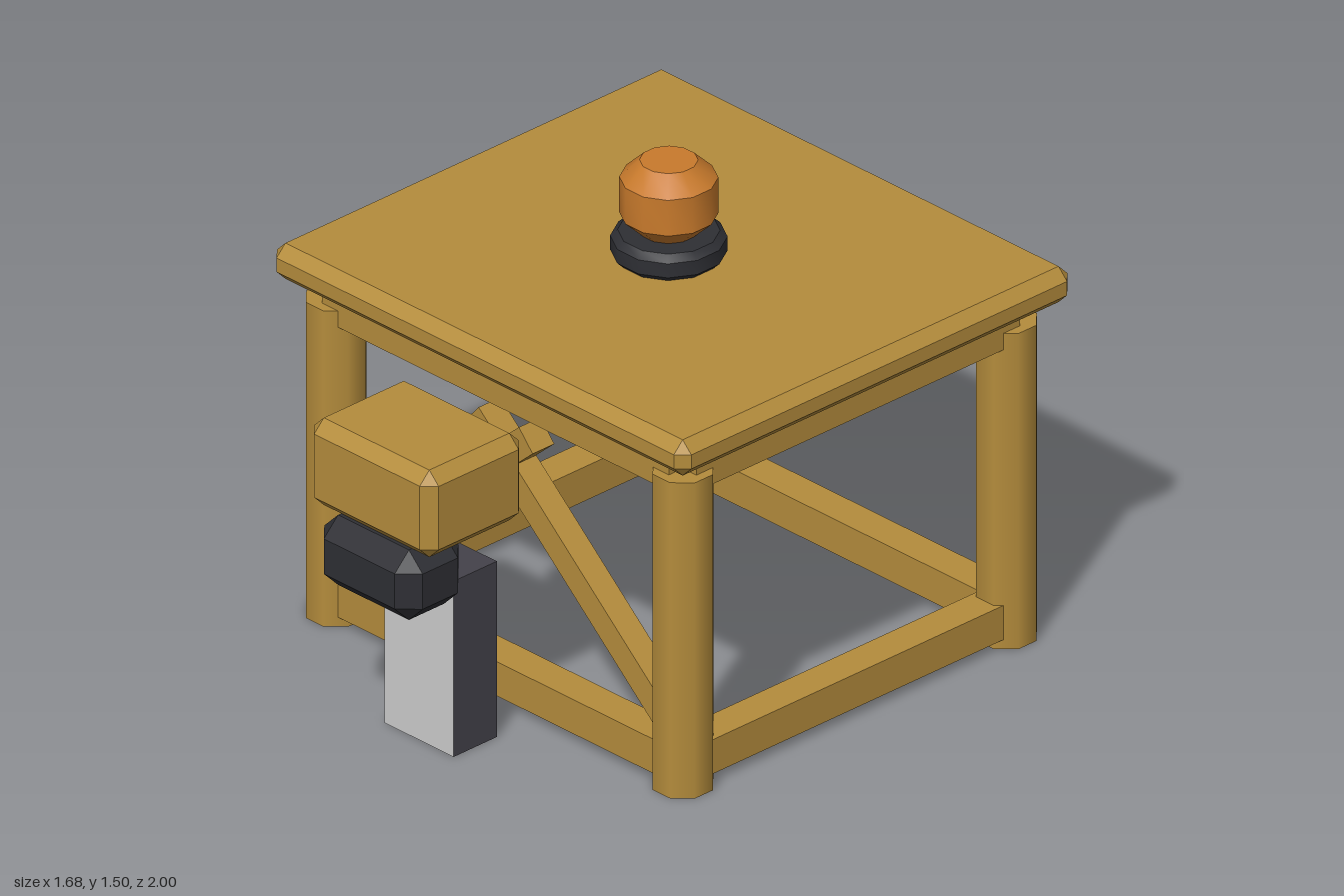
import * as THREE from 'three';
import { toCreasedNormals } from 'three/addons/utils/BufferGeometryUtils.js';
import { ConvexGeometry } from 'three/addons/geometries/ConvexGeometry.js';

const mat = (color) => new THREE.MeshStandardMaterial({ color });

// Box with every edge and corner cut by c
function chamferBox(w, h, d, c) {
  const pts = [];
  for (const x of [-w / 2, w / 2]) for (const y of [-h / 2, h / 2]) for (const z of [-d / 2, d / 2]) {
    const cx = Math.sign(x) * c, cy = Math.sign(y) * c, cz = Math.sign(z) * c;
    pts.push(new THREE.Vector3(x, y - cy, z - cz), new THREE.Vector3(x - cx, y, z - cz), new THREE.Vector3(x - cx, y - cy, z));
  }
  return new ConvexGeometry(pts);
}

// Twelve-sided turned part, flats facing the axes
function turned(profile) {
  const geo = new THREE.LatheGeometry(profile.map(([r, y]) => new THREE.Vector2(r, y)), 12);
  geo.rotateY(Math.PI / 12);
  return toCreasedNormals(geo, 0.6);
}

export function createModel() {
  const model = new THREE.Group();
  const wood = mat(0xb48c3c), black = mat(0x2e2f34), casing = mat(0x44424a);
  const grey = mat(0xcccccc), orange = mat(0xc87a2c);

  const add = (name, geo, material, x, y, z) => {
    const mesh = new THREE.Mesh(geo, material);
    mesh.name = name;
    mesh.position.set(x, y, z);
    model.add(mesh);
    return mesh;
  };

  const legX = 0.705, zFront = 0.41, zBack = -0.86;
  const zMid = (zFront + zBack) / 2, span = zFront - zBack, bar = 0.11;

  // Table top
  add('tableTop', chamferBox(1.685, 0.115, 1.545, 0.035), wood, 0, 1.1275, -0.2275);

  // Octagonal legs
  const leg = new THREE.CylinderGeometry(0.092, 0.092, 1.015, 8);
  leg.rotateY(Math.PI / 8);
  for (const x of [-legX, legX]) for (const z of [zFront, zBack]) add('leg', leg, wood, x, 0.5075, z);

  // Upper aprons and lower rails
  for (const [name, y] of [['apron', 1.017], ['rail', 0.085]]) {
    for (const z of [zFront, zBack]) add(name, new THREE.BoxGeometry(2 * legX, bar, bar), wood, 0, y, z);
    for (const x of [-legX, legX]) add(name, new THREE.BoxGeometry(bar, bar, span), wood, x, y, zMid);
  }

  // Crossed braces between the front legs
  const slope = 0.88, x0 = 0.67, x1 = -0.11;
  const length = Math.hypot(x0 - x1, (x0 - x1) * slope);
  for (const s of [-1, 1]) {
    const midX = (x0 + x1) / 2;
    const brace = add('brace', new THREE.BoxGeometry(length, 0.085, 0.085), wood, s * midX, 0.245 + (0.62 - midX) * slope, zFront);
    brace.rotation.z = -s * Math.atan(slope);
  }

  // Button on the table
  add('buttonBase', turned([[0, 0], [0.145, 0], [0.166, 0.02], [0.166, 0.065], [0.145, 0.085], [0, 0.085]]), black, 0, 1.185, -0.215);
  add('button', turned([[0, 0], [0.083, 0], [0.14, 0.055], [0.14, 0.17], [0.083, 0.225], [0, 0.225]]), orange, 0, 1.27, -0.215);

  // Unit standing in front: pedestal with a pale front panel, dark middle, wooden head
  add('pedestal', new THREE.BoxGeometry(0.28, 0.565, 0.17), [casing, casing, casing, grey, grey, casing], 0, 0.2825, 0.68);
  add('unitMiddle', chamferBox(0.4, 0.225, 0.25, 0.056), black, 0, 0.6225, 0.875);
  add('unitHead', chamferBox(0.505, 0.28, 0.39, 0.038), wood, 0, 0.875, 0.775);

  return model;
}
